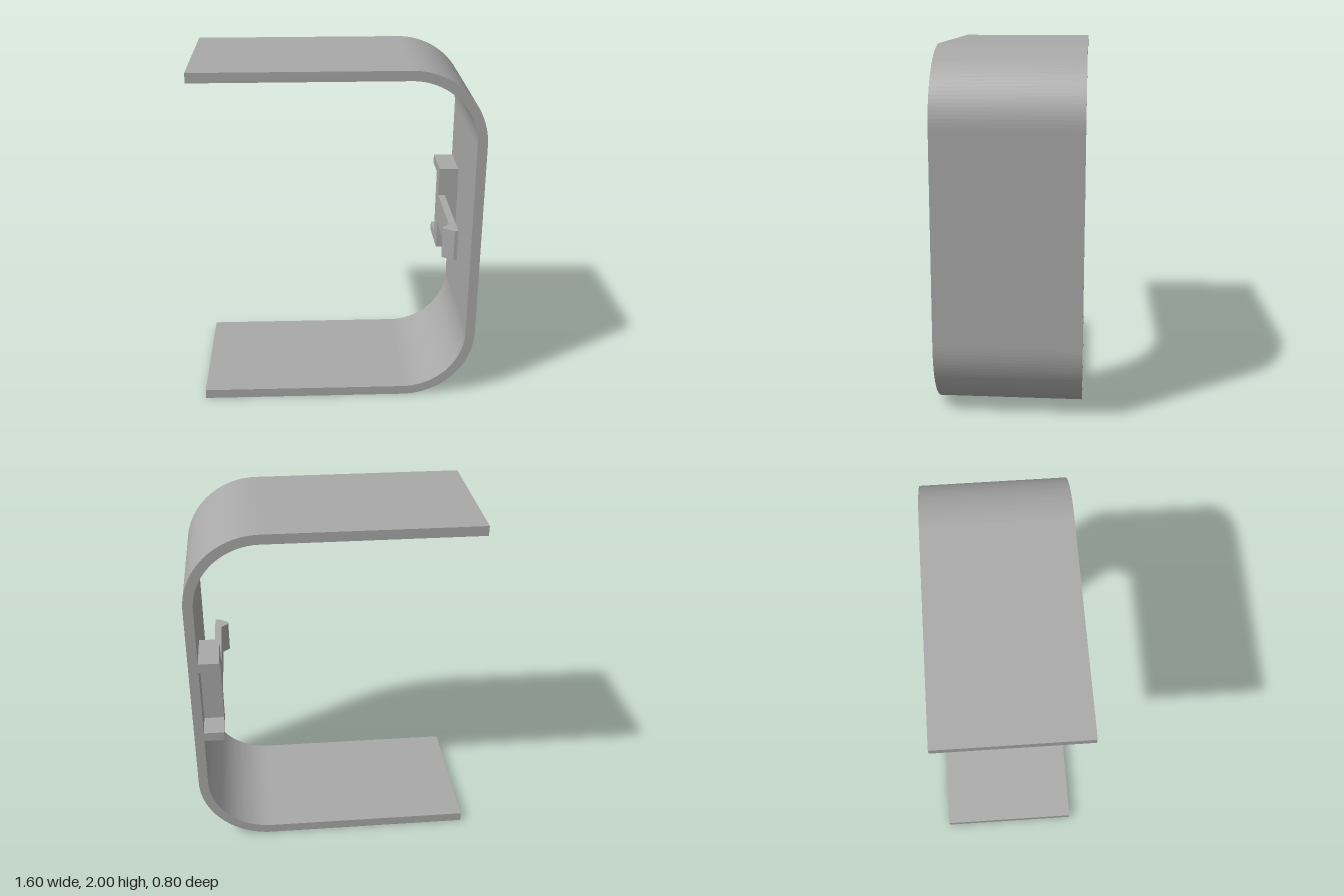
import * as THREE from 'three';

export function createModel() {
  const group = new THREE.Group();
  const grey = new THREE.MeshStandardMaterial({ color: 0xa8a8a8 });
  grey.name = 'grey';

  const add = (name, geometry) => {
    const mesh = new THREE.Mesh(geometry, grey);
    mesh.name = name;
    group.add(mesh);
    return mesh;
  };
  // box given by its lower and upper corners
  const box = (name, [x0, y0, z0], [x1, y1, z1]) =>
    add(name, new THREE.BoxGeometry(x1 - x0, y1 - y0, z1 - z0))
      .position.set((x0 + x1) / 2, (y0 + y1) / 2, (z0 + z1) / 2);

  // C-shaped band with rounded corners
  const end = -0.8, side = 0.8, thick = 0.055, radius = 0.42;
  const c = side - radius, inner = radius - thick;
  const band = new THREE.Shape();
  band.moveTo(end, 0);
  band.lineTo(c, 0);
  band.absarc(c, radius, radius, -Math.PI / 2, 0, false);
  band.lineTo(side, 2 - radius);
  band.absarc(c, 2 - radius, radius, 0, Math.PI / 2, false);
  band.lineTo(end, 2);
  band.lineTo(end, 2 - thick);
  band.lineTo(c, 2 - thick);
  band.absarc(c, 2 - radius, inner, Math.PI / 2, 0, true);
  band.lineTo(side - thick, radius);
  band.absarc(c, radius, inner, 0, -Math.PI / 2, true);
  band.lineTo(end, thick);
  band.closePath();
  const bandGeometry = new THREE.ExtrudeGeometry(band, { depth: 0.8, bevelEnabled: false, curveSegments: 16 });
  add('band', bandGeometry.translate(0, 0, -0.4));

  // clip mount on the inner wall: upright block with two tabs
  const wall = side - thick, face = 0.63, low = 0.725, high = 1.245;
  box('clipBlock', [face, low, -0.25], [wall, high, -0.14]);
  box('upperTab', [face, high - 0.055, -0.4], [wall, high, -0.25]);
  box('lowerTab', [face, low, -0.4], [wall, low + 0.055, -0.25]);

  // springy arm with a hooked tip, drawn in plan as (x, z)
  const plan = [[0.67, -0.14], [0.67, 0.39], [0.65, 0.39], [0.59, 0.35], [0.59, 0.328], [face, 0.293], [face, -0.14]];
  const arm = new THREE.Shape(plan.map(([x, z]) => new THREE.Vector2(x, -z)));
  const armGeometry = new THREE.ExtrudeGeometry(arm, { depth: 0.18, bevelEnabled: false });
  add('clipArm', armGeometry.rotateX(-Math.PI / 2).translate(0, 0.895, 0));

  return group;
}
